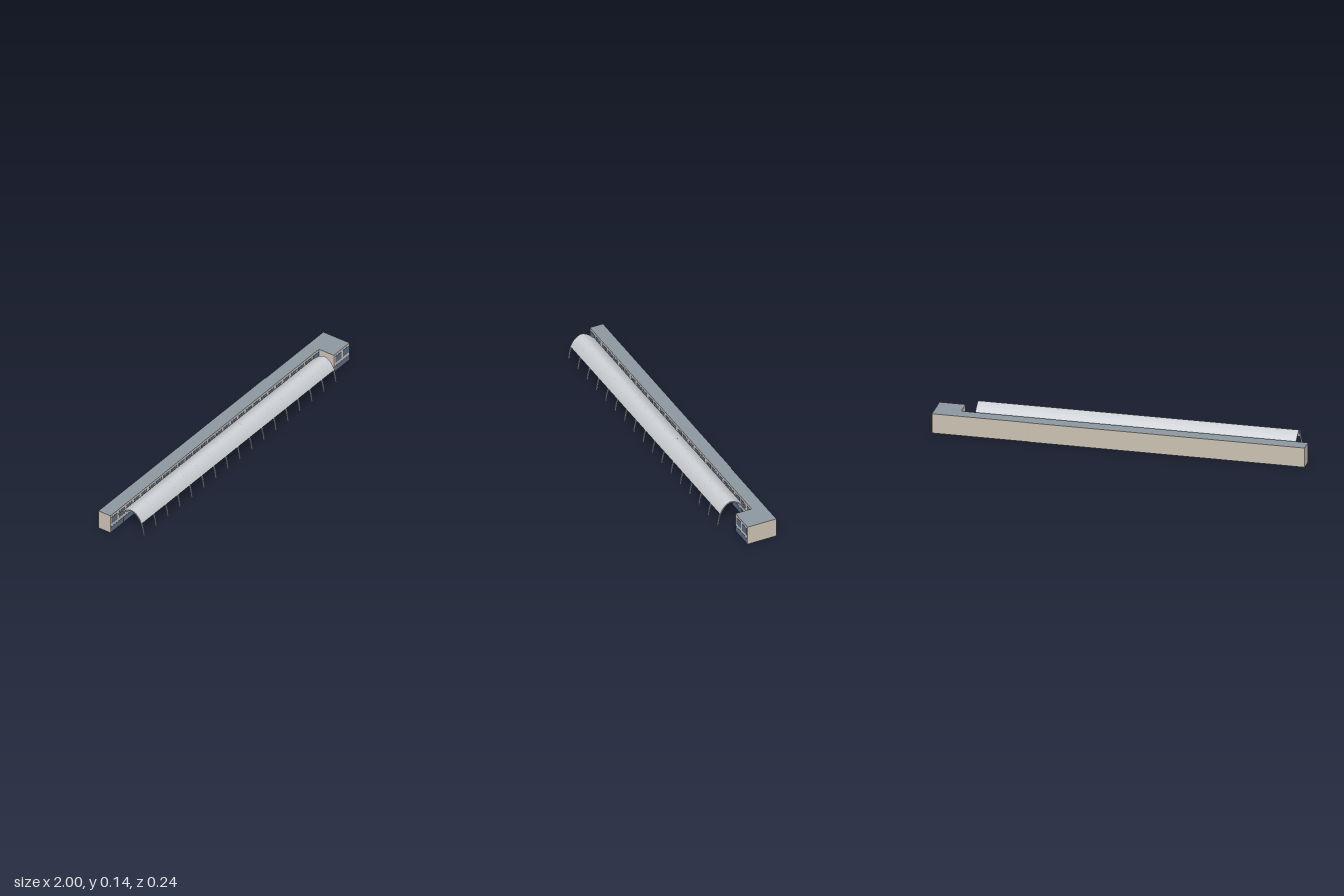
import * as THREE from 'three';

const mat = (name, color) => {
  const m = new THREE.MeshStandardMaterial({ color });
  m.name = name;
  return m;
};

export function createModel() {
  const model = new THREE.Group();
  const wall = mat('beige wall', 0xcbc1b2);
  const steel = mat('roof and steel grey', 0x8b979f);
  const glass = mat('window blue', 0x5c6f88);
  const sheet = mat('canopy light grey', 0xcbced2);

  const add = (name, geometry, material, parent = model) => {
    const mesh = new THREE.Mesh(geometry, material);
    mesh.name = name;
    parent.add(mesh);
    return mesh;
  };

  // L-shaped station building, drawn as (x, -z) and extruded upwards
  const footprint = new THREE.Shape([
    [-1, 0.045], [0.86, 0.045], [0.86, -0.05], [1, -0.05],
    [1, 0.118], [0.487, 0.118], [0.48, 0.121], [-1, 0.122],
  ].map(([x, y]) => new THREE.Vector2(x, y)));
  const slab = (y, depth) =>
    new THREE.ExtrudeGeometry(footprint, { depth, bevelEnabled: false })
      .rotateX(-Math.PI / 2).translate(0, y, 0);
  add('walls', slab(0, 0.1065), wall);
  add('roof', slab(0.1065, 0.0015), steel);

  // Facade glazing as thin plates: upper windows and lower shopfronts
  const glazing = new THREE.Group();
  glazing.name = 'glazing';
  model.add(glazing);
  const pane = (name, x0, x1, y0, y1, z) =>
    add(name, new THREE.BoxGeometry(x1 - x0, y1 - y0, 0.003)
      .translate((x0 + x1) / 2, (y0 + y1) / 2, z), glass, glazing);
  const pitch = 2 / 30;
  for (let i = 0; i < 30; i++) {
    const x = -1 + i * pitch;
    const z = i < 28 ? -0.045 : 0.05;
    pane('upperWindow', x + 0.008, x + pitch - 0.008, 0.053, 0.094, z);
  }
  for (let i = 0; i < 17; i++) {
    const x = -1 + i * 0.1094;
    pane('shopfront', x + 0.004, x + 0.1054, 0.002, 0.036, -0.045);
  }
  pane('wingShopfront', 0.865, 0.995, 0.002, 0.034, 0.05);

  // Arched canopy profile, points as (z, y) from the platform to the wall
  const arch = new THREE.SplineCurve([
    [0.1165, 0.007], [0.11, 0.05], [0.095, 0.09], [0.07, 0.121],
    [0.04, 0.134], [0.01, 0.123], [-0.01, 0.107], [-0.046, 0.075],
  ].map(([z, y]) => new THREE.Vector2(z, y)));

  // Band following the arch between two offsets, extruded along x
  const band = (u0, u1, segments, inner, outer, width) => {
    const inside = [], outside = [];
    for (let i = 0; i <= segments; i++) {
      const u = u0 + (u1 - u0) * i / segments;
      const p = arch.getPointAt(u), t = arch.getTangentAt(u);
      const n = new THREE.Vector2(t.y, -t.x);
      outside.push(p.clone().addScaledVector(n, outer));
      inside.push(p.clone().addScaledVector(n, inner));
    }
    const shape = new THREE.Shape([...outside, ...inside.reverse()]);
    return new THREE.ExtrudeGeometry(shape, { depth: width, bevelEnabled: false })
      .translate(0, 0, -width / 2).rotateY(-Math.PI / 2);
  };
  add('canopySheet', band(0.27, 0.925, 18, 0.0024, 0.0036, 1.72), sheet)
    .position.x = -0.07;

  // Row of curved ribs carrying the canopy
  const ribGeometry = band(0, 1, 14, -0.0035, 0.0035, 0.008);
  const ribs = new THREE.Group();
  ribs.name = 'ribs';
  model.add(ribs);
  for (let i = 0; i < 17; i++) {
    add('rib', ribGeometry, steel, ribs).position.x = -0.926 + i * 0.107;
  }
  return model;
}
